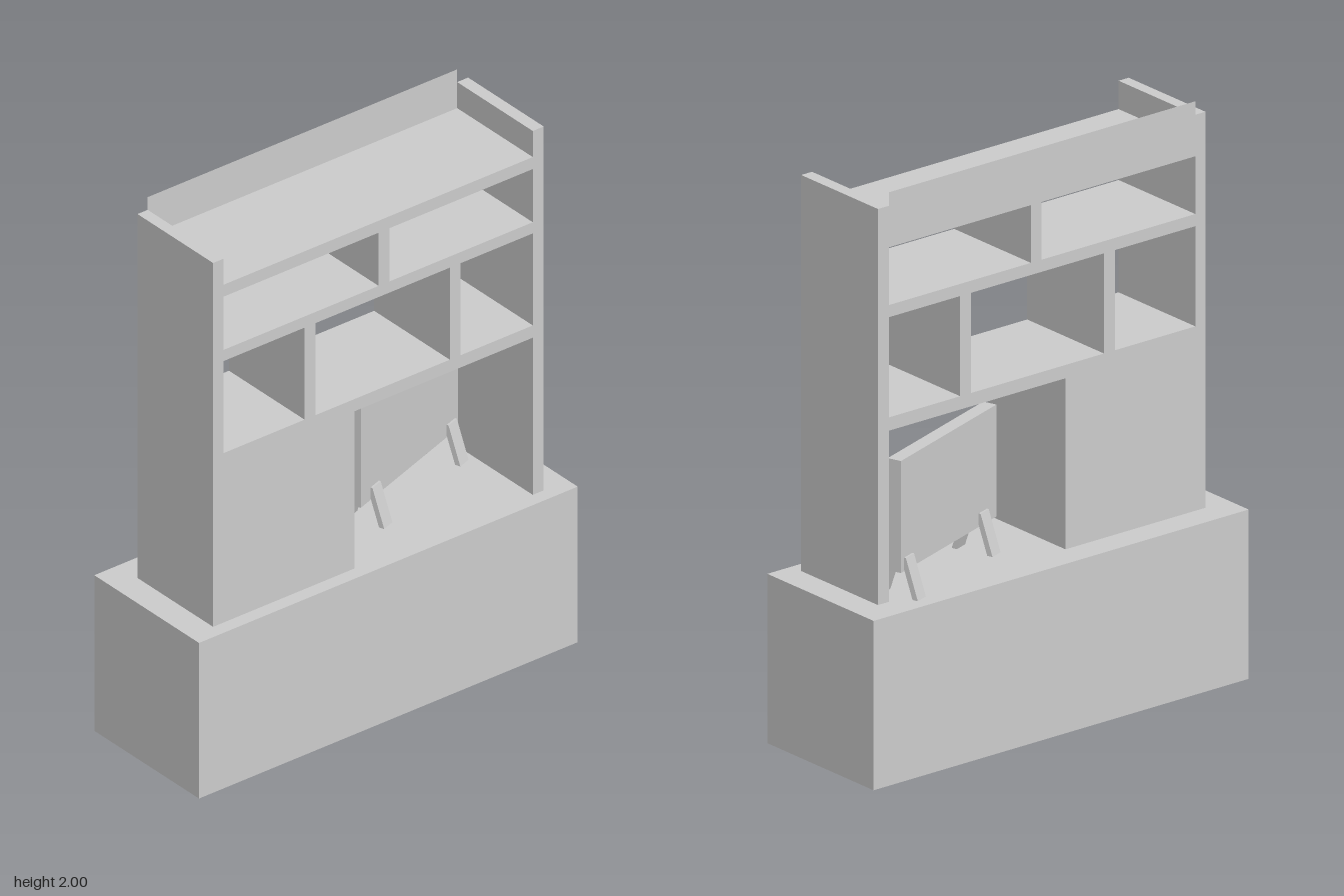
import * as THREE from 'three';

const material = new THREE.MeshStandardMaterial({ color: 0xcccccc, flatShading: true });
const sheetMaterial = new THREE.MeshStandardMaterial({ color: 0xcccccc, side: THREE.DoubleSide });

// Box given by its limits on each axis
function box(name, [x0, x1], [y0, y1], [z0, z1]) {
  const mesh = new THREE.Mesh(new THREE.BoxGeometry(x1 - x0, y1 - y0, z1 - z0), material);
  mesh.position.set((x0 + x1) / 2, (y0 + y1) / 2, (z0 + z1) / 2);
  mesh.name = name;
  return mesh;
}

// Slanted bar: a sheared side outline extruded across the width (side = 1 front, -1 back)
function leg(name, side, top, height) {
  const points = [[0.012, top], [0.032, top], [0.077, height], [0.057, height]]
    .map(([z, y]) => new THREE.Vector2(-z * side, y));
  const geometry = new THREE.ExtrudeGeometry(new THREE.Shape(points), { depth: 0.05, bevelEnabled: false });
  geometry.translate(0, 0, -0.025).rotateY(Math.PI / 2);
  const mesh = new THREE.Mesh(geometry, material);
  mesh.name = name;
  return mesh;
}

export function createModel() {
  const model = new THREE.Group();
  model.name = 'wallUnit';

  const baseTop = 0.585;
  const depth = [-0.17, 0.22];
  const inner = [-0.64, 0.635];

  // Plinth
  model.add(box('base', [-0.78, 0.78], [0, baseTop], [-0.27, 0.27]));

  // Side panels and closed cupboard
  model.add(box('rightSide', [-0.682, inner[0]], [baseTop, 1.953], depth));
  model.add(box('leftSide', [inner[1], 0.68], [baseTop, 1.953], depth));
  model.add(box('cupboard', [inner[0], -0.1], [baseTop, 1.176], depth));

  // Shelves
  [[1.176, 1.222], [1.568, 1.61], [1.81, 1.855]].forEach((y, i) =>
    model.add(box('shelf' + (i + 1), inner, y, depth)));

  // Upright dividers
  model.add(box('lowerDividerRight', [-0.305, -0.26], [1.222, 1.568], depth));
  model.add(box('lowerDividerLeft', [0.293, 0.338], [1.222, 1.568], depth));
  model.add(box('upperDivider', [0, 0.044], [1.61, 1.81], depth));

  // Thin back sheet above the top shelf
  const sheet = new THREE.Mesh(new THREE.PlaneGeometry(inner[1] - inner[0], 0.19), sheetMaterial);
  sheet.position.set((inner[0] + inner[1]) / 2, 1.905, depth[0] - 0.001);
  sheet.name = 'topBackSheet';
  model.add(sheet);

  // Turned screen on two splayed feet
  const screen = new THREE.Group();
  screen.name = 'screen';
  screen.add(box('screenPanel', [-0.294, 0.294], [0.678, 1.065], [-0.025, 0.025]));
  [-0.21, 0.25].forEach((x, i) => {
    const foot = new THREE.Group();
    foot.name = i ? 'leftFoot' : 'rightFoot';
    foot.add(leg('frontLeg', 1, 0.725, baseTop), leg('backLeg', -1, 0.725, baseTop));
    foot.position.x = x;
    screen.add(foot);
  });
  screen.position.set(0.325, 0, -0.062);
  screen.rotation.y = 0.335;
  model.add(screen);

  return model;
}
